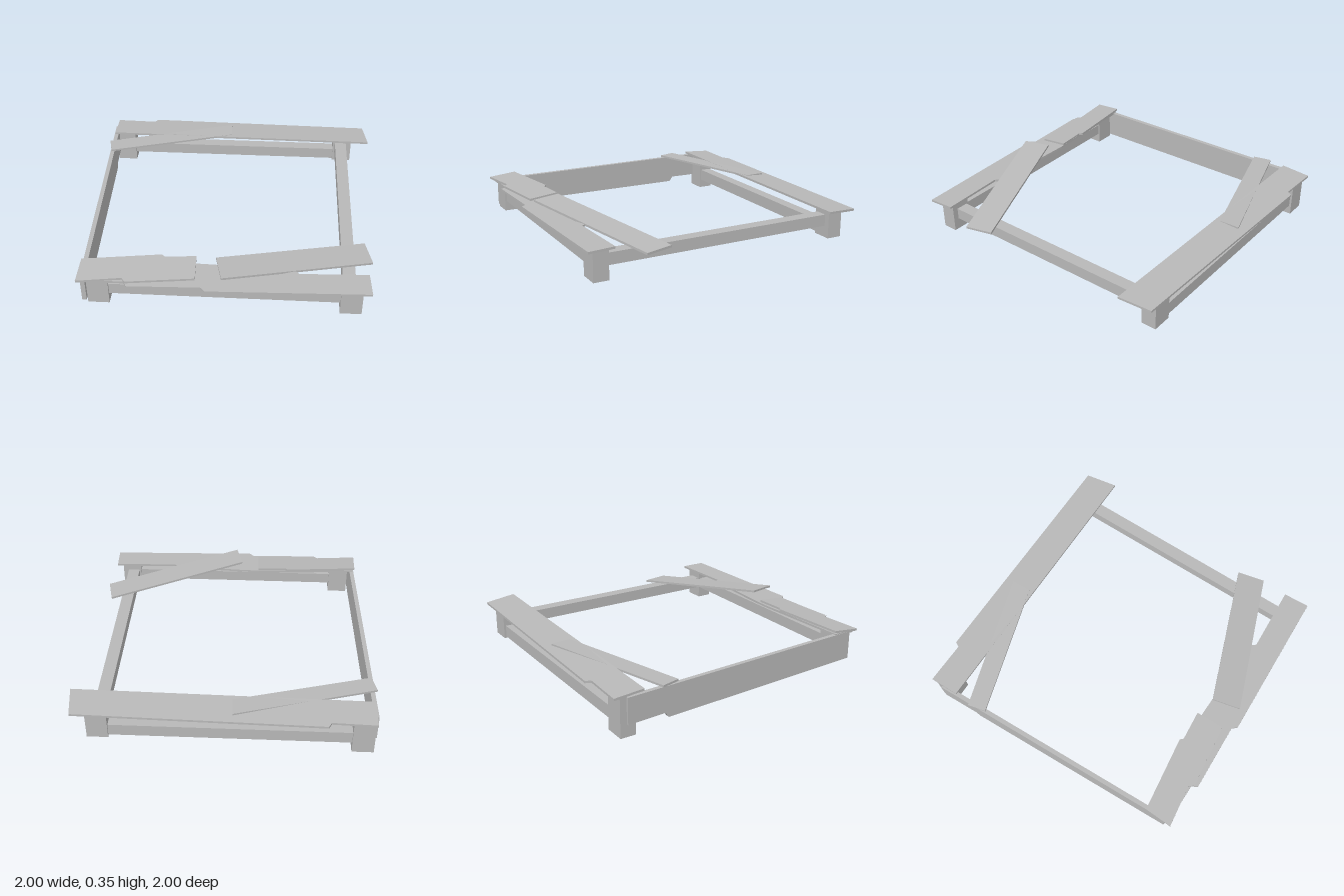
import * as THREE from 'three';

export function createModel() {
  const root = new THREE.Group();
  const wood = new THREE.MeshStandardMaterial({ color: 0xb8b8b8 });
  wood.name = 'weatheredGrey';

  function add(name, geometry) {
    const mesh = new THREE.Mesh(geometry, wood);
    mesh.name = name;
    root.add(mesh);
  }

  // Box given by its limits on each axis
  function block(name, [x0, x1], [y0, y1], [z0, z1]) {
    const g = new THREE.BoxGeometry(x1 - x0, y1 - y0, z1 - z0);
    add(name, g.translate((x0 + x1) / 2, (y0 + y1) / 2, (z0 + z1) / 2));
  }

  const extrude = (points, depth) => new THREE.ExtrudeGeometry(
    new THREE.Shape(points.map(([a, b]) => new THREE.Vector2(a, b))),
    { depth, bevelEnabled: false });

  // Thin board from an (x, z) outline; bottom(x, z) gives its slope
  function board(name, outline, thickness, bottom) {
    const g = extrude(outline.map(([x, z]) => [x, -z]), thickness).rotateX(-Math.PI / 2);
    const p = g.attributes.position;
    for (let i = 0; i < p.count; i++) p.setY(i, p.getY(i) + bottom(p.getX(i), p.getZ(i)));
    g.computeVertexNormals();
    add(name, g);
  }

  // Corner posts
  const frontZ = [0.81, 0.915], backZ = [-0.935, -0.83];
  block('frontLeftPost', [0.74, 0.88], [0.055, 0.262], frontZ);
  block('frontRightPost', [-0.89, -0.75], [0.065, 0.262], frontZ);
  block('backLeftPost', [0.74, 0.88], [0.055, 0.262], backZ);
  block('backRightPost', [-0.978, -0.835], [0, 0.262], backZ);

  // Rails between the posts
  block('frontRail', [-0.76, 0.75], [0.135, 0.215], [0.82, 0.9]);
  block('backRail', [-0.84, 0.75], [0.065, 0.15], [-0.92, -0.84]);
  block('leftRail', [0.755, 0.84], [0.135, 0.215], [-0.84, 0.82]);

  // Upright side plank, slightly skewed, with a broken lower corner
  const side = extrude([
    [0.91, 0.075], [0.91, 0.272], [-0.89, 0.262],
    [-0.89, 0.085], [-0.625, 0.09], [-0.6, 0.055],
  ], 0.03).rotateY(-Math.PI / 2);
  const sp = side.attributes.position;
  for (let i = 0; i < sp.count; i++) sp.setX(i, sp.getX(i) - 0.932 + 0.035 * sp.getZ(i));
  side.computeVertexNormals();
  add('rightSidePlank', side);

  // Seat boards resting on the frame
  board('backSeatBoard', [
    [-0.98, -0.975], [-0.69, -0.965], [-0.67, -1], [0.97, -0.965], [1, -0.74], [-0.98, -0.768],
  ], 0.015, (x, z) => 0.272 + 0.07 * (z + 0.77));
  board('frontSeatBoard', [
    [-0.93, 0.78], [-0.2, 0.743], [-0.05, 0.748], [0.45, 0.78], [0.47, 0.803], [0.92, 0.785],
    [0.93, 0.965], [-0.12, 0.997], [-0.15, 0.965], [-0.62, 0.98], [-0.64, 0.94], [-0.93, 0.94],
  ], 0.015, (x, z) => 0.262 - 0.02 * (z - 0.88));

  // Loose broken boards lying on top
  board('backLooseBoard', [
    [-1, -0.65], [-0.065, -0.93], [-0.06, -0.79], [-0.97, -0.525],
  ], 0.014, (x, z) => 0.27 + 0.005 * (x + 1));
  board('frontLooseBoard', [
    [-0.94, 0.77], [-0.42, 0.71], [-0.4, 0.73], [-0.195, 0.715],
    [-0.19, 0.91], [-0.63, 0.955], [-0.655, 0.925], [-0.945, 0.962],
  ], 0.015, (x, z) => 0.304 + 0.01 * (x + 0.2) - 0.1 * (z - 0.715));
  board('fallenBoard', [
    [-0.065, 0.755], [0.915, 0.405], [0.96, 0.595], [-0.02, 0.945],
  ], 0.015, (x) => 0.333 - 0.128 * (x + 0.065));

  return root;
}
